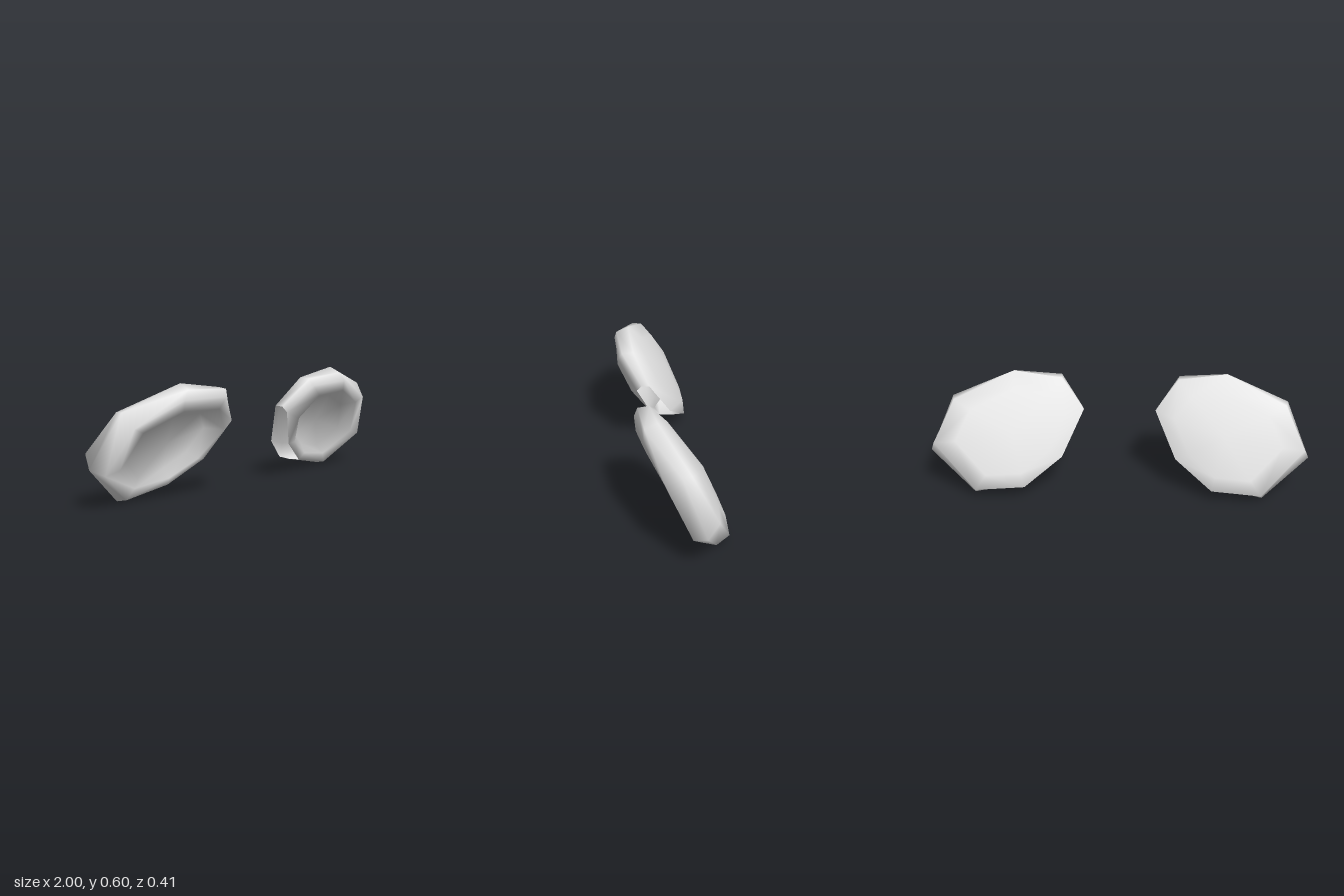
import * as THREE from 'three';
import { mergeVertices } from 'three/addons/utils/BufferGeometryUtils.js';

// Eight-sided rim sections of the left pad, clockwise from the inner tip.
const BACK = [[0.19, 0.407, 0.055], [0.31, 0.556, 0.125], [0.565, 0.595, 0.12], [0.875, 0.472, 0.005],
  [0.975, 0.27, -0.11], [0.75, 0.045, -0.205], [0.492, 0.06, -0.19], [0.3, 0.187, -0.078]];
const MIDDLE = [[0.2, 0.405, 0.095], [0.315, 0.552, 0.185], [0.57, 0.568, 0.185], [0.885, 0.475, 0.055],
  [1, 0.2, -0.05], [0.76, 0, -0.14], [0.497, 0.055, -0.12], [0.31, 0.185, -0.02]];
const FRONT = [[0.21, 0.375, 0.12], [0.33, 0.515, 0.205], [0.6, 0.52, 0.193], [0.86, 0.4, 0.12],
  [0.95, 0.17, 0.01], [0.75, 0.013, -0.077], [0.5, 0.06, -0.05], [0.325, 0.18, 0.03]];
const LIP = [[0.285, 0.338, 0.14], [0.38, 0.458, 0.203], [0.6, 0.465, 0.185], [0.8, 0.375, 0.115],
  [0.87, 0.19, 0.02], [0.715, 0.07, -0.055], [0.515, 0.1, -0.02], [0.37, 0.187, 0.035]];
const BACKWARD = new THREE.Vector3(-0.05, 0.1, -1);

// Shrinks a ring towards its middle and shifts it along the pad's axis.
function inset(ring, scale, shift) {
  const centre = new THREE.Vector3();
  ring.forEach(p => centre.add(new THREE.Vector3(...p)));
  centre.divideScalar(ring.length);
  return ring.map(p => new THREE.Vector3(...p).sub(centre).multiplyScalar(scale)
    .add(centre).addScaledVector(BACKWARD, shift).toArray());
}

// Joins rings into a smooth skin; open(band, i) leaves a gap.
function skin(rings, side, open) {
  const n = rings[0].length, index = [];
  const position = rings.flat().flatMap(([x, y, z]) => [x * side, y, z]);
  const tri = (a, b, c) => index.push(...(side > 0 ? [a, b, c] : [a, c, b]));
  for (let k = 0; k < rings.length - 1; k++) {
    for (let i = 0; i < n; i++) {
      if (open(k, i)) continue;
      const j = (i + 1) % n, a = k * n, b = a + n;
      tri(a + i, b + i, b + j);
      tri(a + i, b + j, a + j);
    }
  }
  const geometry = new THREE.BufferGeometry();
  geometry.setAttribute('position', new THREE.Float32BufferAttribute(position, 3));
  geometry.setIndex(index);
  const merged = mergeVertices(geometry);
  merged.computeVertexNormals();
  return merged;
}

export function createModel() {
  const model = new THREE.Group();
  const grey = new THREE.MeshStandardMaterial({ color: 0xe7e7e7, side: THREE.DoubleSide });
  grey.name = 'light grey';

  // Domed back, rounded rim, then the lip and hollow of the front
  const rings = [
    inset(BACK, 0, 0.07), inset(BACK, 0.72, 0.037), BACK, MIDDLE, FRONT,
    LIP, inset(FRONT, 0.62, 0.05), inset(FRONT, 0, 0.055),
  ];
  // The rim is open along the lower inner edge
  const gap = (k, i) => (k === 2 || k === 3) && i >= 6;

  for (const [name, side] of [['leftPad', 1], ['rightPad', -1]]) {
    const pad = new THREE.Mesh(skin(rings, side, gap), grey);
    pad.name = name;
    model.add(pad);
  }
  return model;
}
